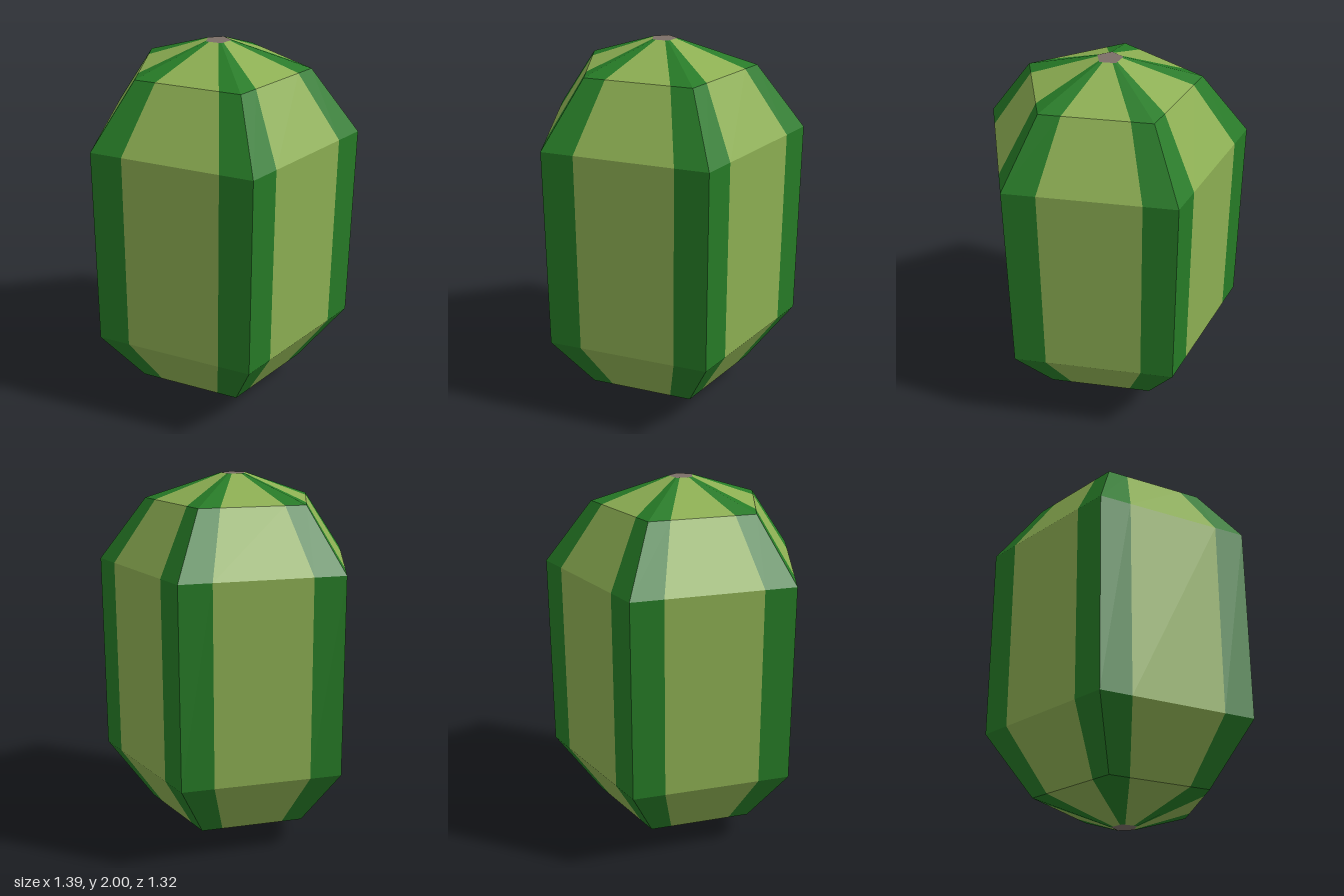
import * as THREE from 'three';

const SIDES = 5;
const CENTRE_Z = 0.07;
// [radius, height] of each pentagonal ring, bottom to top
const RINGS = [[0.07, 0], [0.475, 0.135], [0.73, 0.465], [0.73, 1.535], [0.475, 1.865], [0.07, 2]];

const rind = new THREE.MeshStandardMaterial({ color: 0x8cae52 });
rind.name = 'light green rind';
const stripe = new THREE.MeshStandardMaterial({ color: 0x267a26 });
stripe.name = 'dark green stripe';
const stem = new THREE.MeshStandardMaterial({ color: 0x7b6f67 });
stem.name = 'grey brown end';

// Corner k of a ring; corners 0 and 1 border the front face
function corner([r, y], k) {
  const a = ((k - 0.5) * 2 * Math.PI) / SIDES;
  return new THREE.Vector3(r * Math.sin(a), y, CENTRE_Z + r * Math.cos(a));
}

// Flat panels covering the given fractions of every side, on every band
function panels(name, material, spans) {
  const pos = [];
  for (let i = 0; i < RINGS.length - 1; i++) {
    for (let k = 0; k < SIDES; k++) {
      for (const [from, to] of spans) {
        const at = (ring, t) => corner(ring, k).lerp(corner(ring, k + 1), t);
        const a = at(RINGS[i], from), b = at(RINGS[i], to);
        const c = at(RINGS[i + 1], to), d = at(RINGS[i + 1], from);
        for (const p of [a, b, c, a, c, d]) pos.push(p.x, p.y, p.z);
      }
    }
  }
  const geo = new THREE.BufferGeometry();
  geo.setAttribute('position', new THREE.Float32BufferAttribute(pos, 3));
  geo.computeVertexNormals();
  const mesh = new THREE.Mesh(geo, material);
  mesh.name = name;
  return mesh;
}

// Small pentagon closing one end
function endCap(name, ring, up) {
  const geo = new THREE.CircleGeometry(ring[0], SIDES, up * Math.PI / 2);
  geo.rotateX(-up * Math.PI / 2);
  const mesh = new THREE.Mesh(geo, stem);
  mesh.position.set(0, ring[1], CENTRE_Z);
  mesh.name = name;
  return mesh;
}

export function createModel() {
  const melon = new THREE.Group();
  melon.name = 'melon';
  melon.add(
    panels('rind', rind, [[0.2, 0.8]]),
    panels('cornerStripes', stripe, [[0, 0.2], [0.8, 1]]),
    endCap('topEnd', RINGS[RINGS.length - 1], 1),
    endCap('bottomEnd', RINGS[0], -1),
  );
  return melon;
}
